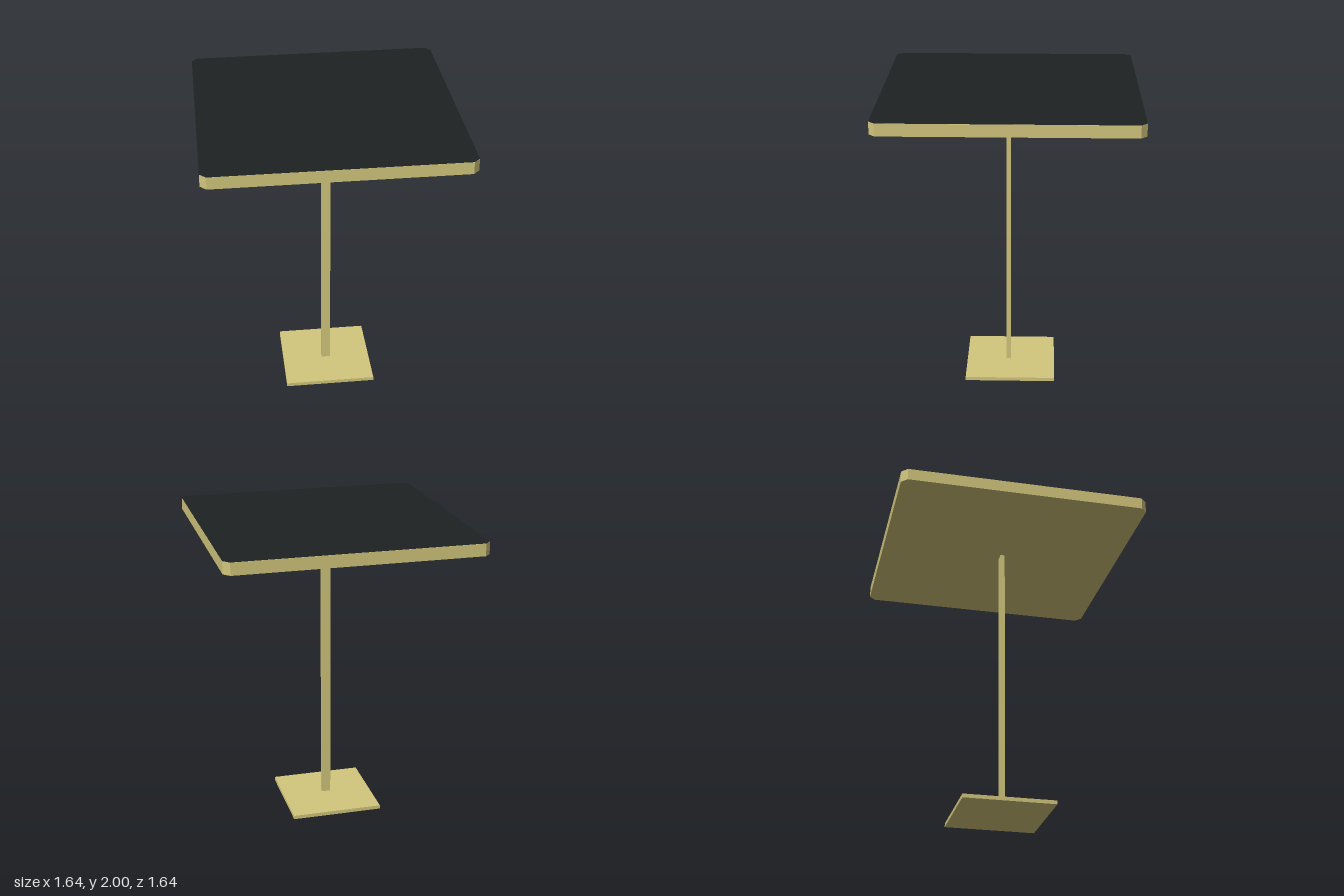
import * as THREE from 'three';

const brass = new THREE.MeshStandardMaterial({ color: 0xd2c67c });
const dark = new THREE.MeshStandardMaterial({ color: 0x1d2223 });

// Square outline with cut corners
function chamferedSquare(half, cut) {
  const inner = half - cut;
  return new THREE.Shape([
    [inner, -half], [half, -inner], [half, inner], [inner, half],
    [-inner, half], [-half, inner], [-half, -inner], [-inner, -half],
  ].map(([x, y]) => new THREE.Vector2(x, y)));
}

function addPart(group, name, geometry, material, x, y, z) {
  const mesh = new THREE.Mesh(geometry, material);
  mesh.name = name;
  mesh.position.set(x, y, z);
  group.add(mesh);
}

export function createModel() {
  const table = new THREE.Group();
  table.name = 'pedestalTable';

  const baseHeight = 0.025, topBottom = 1.92, topHeight = 2;
  const outline = chamferedSquare(0.822, 0.039);

  // Flat square foot
  addPart(table, 'basePlate', new THREE.BoxGeometry(0.606, baseHeight, 0.606), brass, 0, baseHeight / 2, 0);

  // Flat bar post, its back face on the centre line
  const postHeight = topBottom - baseHeight;
  addPart(table, 'post', new THREE.BoxGeometry(0.06, postHeight, 0.03), brass, 0, baseHeight + postHeight / 2, 0.015);

  // Tabletop frame, just below the dark surface
  const frame = new THREE.ExtrudeGeometry(outline, { depth: topHeight - topBottom - 0.001, bevelEnabled: false });
  frame.rotateX(-Math.PI / 2);
  addPart(table, 'tabletopFrame', frame, brass, 0, topBottom, 0);

  // Dark surface covering the whole top
  const surface = new THREE.ShapeGeometry(outline);
  surface.rotateX(-Math.PI / 2);
  addPart(table, 'tabletopSurface', surface, dark, 0, topHeight, 0);

  return table;
}
